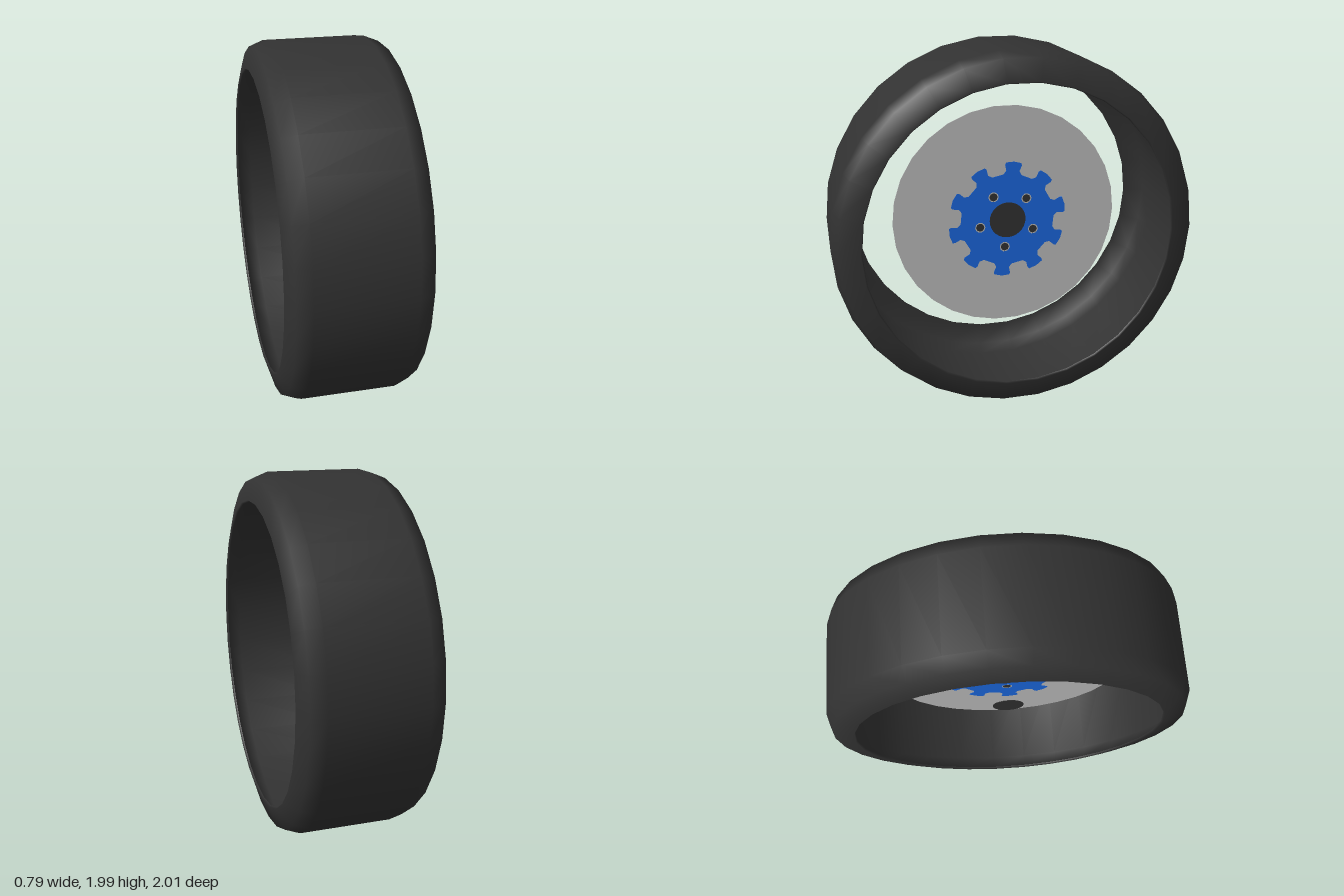
import * as THREE from 'three';

const SIDES = 30;
const polar = (r, deg) => {
  const a = THREE.MathUtils.degToRad(deg);
  return new THREE.Vector2(Math.cos(a) * r, Math.sin(a) * r);
};

export function createModel() {
  const rubber = new THREE.MeshStandardMaterial({ color: 0x323232, side: THREE.DoubleSide });
  rubber.name = 'darkRubber';
  const silver = new THREE.MeshStandardMaterial({ color: 0xc1c1c1 });
  silver.name = 'silverGrey';
  const blue = new THREE.MeshStandardMaterial({ color: 0x1c6ae4 });
  blue.name = 'blue';

  const wheel = new THREE.Group();
  wheel.name = 'wheel';
  wheel.position.y = 0.995;
  wheel.rotation.y = -0.025; // slight steering angle

  const add = (parent, name, geometry, material, x = 0, y = 0, z = 0) => {
    const mesh = new THREE.Mesh(geometry, material);
    mesh.name = name;
    mesh.position.set(x, y, z);
    parent.add(mesh);
    return mesh;
  };

  // Thin round plate facing along the axle
  const plate = (radius, thickness, sides = SIDES) =>
    new THREE.CylinderGeometry(radius, radius, thickness, sides).rotateZ(-Math.PI / 2);

  // Tyre: hollow shell of tread, shoulders and sidewalls, open inside
  const half = [[0.258, 0.999], [0.338, 0.968], [0.372, 0.852], [0.36, 0.845]];
  const mirrored = half.map(([x, r]) => [-x, r]).reverse();
  const profile = [...mirrored, ...half].map(([x, r]) => new THREE.Vector2(r, x));
  add(wheel, 'tyre', new THREE.LatheGeometry(profile, SIDES).rotateZ(-Math.PI / 2), rubber);

  // Central disc
  const disc = new THREE.Group();
  disc.name = 'centralDisc';
  disc.position.x = -0.034;
  wheel.add(disc);
  add(disc, 'discPlate', plate(0.648, 0.003), silver, 0, 0.003, 0);

  // Toothed blue plate with five bolt holes, seen on both sides of the disc
  const outline = [];
  for (let i = 0; i < 10; i++) {
    const a = 84 - i * 36;
    [[0.275, 11], [0.295, 7.5], [0.33, 8.5], [0.343, 7.5], [0.347, 0],
      [0.343, -7.5], [0.33, -8.5], [0.295, -7.5], [0.275, -11]]
      .forEach(([r, d]) => outline.push(polar(r, a + d)));
  }
  const shape = new THREE.Shape(outline);
  const bolts = [0, 1, 2, 3, 4].map((i) => polar(0.165, 48 - i * 72));
  for (const b of bolts) {
    shape.holes.push(new THREE.Path().absarc(b.x, b.y, 0.03, 0, Math.PI * 2, true));
  }
  const toothed = new THREE.ExtrudeGeometry(shape, { depth: 0.006, bevelEnabled: false, curveSegments: 5 });
  toothed.translate(0, 0, -0.003).rotateY(Math.PI / 2);
  const hub = new THREE.Group();
  hub.name = 'hub';
  hub.position.set(0, -0.019, -0.012);
  disc.add(hub);
  add(hub, 'toothedPlate', toothed, blue);

  // Hub centre and bolts
  add(hub, 'hubCentre', plate(0.106, 0.009), rubber);
  for (const b of bolts) add(hub, 'bolt', plate(0.024, 0.006, 8), rubber, 0, b.y, -b.x);

  // Axle end on the inner side
  add(wheel, 'axleEnd', plate(0.087, 0.003, 20), rubber, -0.212, 0.002, 0);

  const model = new THREE.Group();
  model.name = 'model';
  model.add(wheel);
  return model;
}
